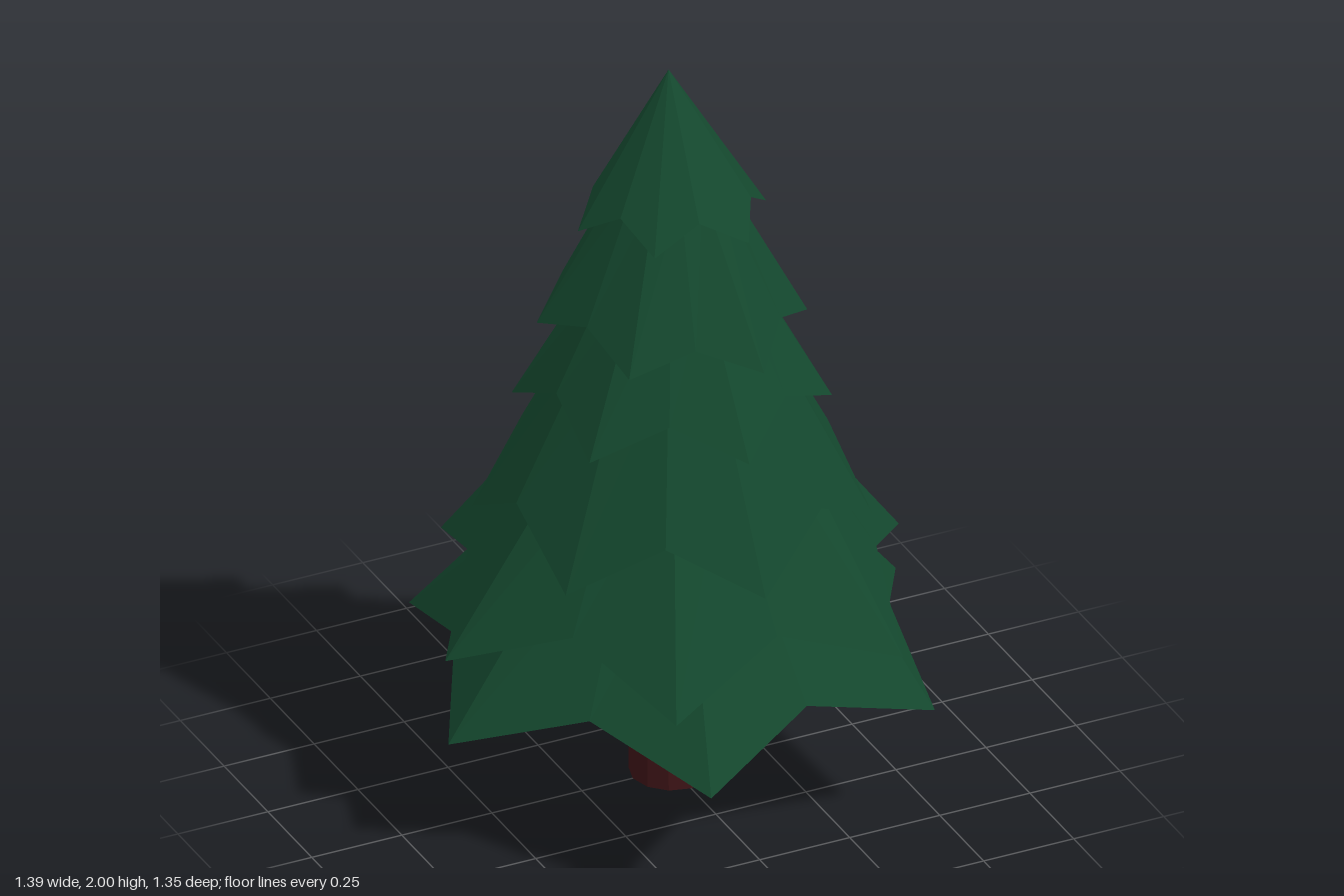
import * as THREE from 'three';

const POINTS = 6;
const needles = new THREE.MeshStandardMaterial({ color: 0x14482e, flatShading: true, side: THREE.DoubleSide });
const bark = new THREE.MeshStandardMaterial({ color: 0x3d1416, flatShading: true });

// Skirt of branches: a six-pointed star rim joined to a smaller, higher ring
function skirt({ tip, valley, top, turn, tilt = [0, 0], lean = [0, 0] }) {
  const n = POINTS * 2, rim = [], ring = [], pos = [];
  for (let i = 0; i < n; i++) {
    const a = THREE.MathUtils.degToRad(turn + i * 360 / n);
    const [r, y] = i % 2 ? valley : tip;
    const x = r * Math.cos(a), z = r * Math.sin(a);
    rim.push([x, y + tilt[0] * x + tilt[1] * z, z]);
    ring.push([top[0] * Math.cos(a) + lean[0], top[1], top[0] * Math.sin(a) + lean[1]]);
  }
  for (let i = 0; i < n; i++) {
    const j = (i + 1) % n;
    pos.push(...rim[i], ...ring[i], ...rim[j]);
    if (top[0] > 0) pos.push(...ring[i], ...ring[j], ...rim[j]);
  }
  const geo = new THREE.BufferGeometry();
  geo.setAttribute('position', new THREE.Float32BufferAttribute(pos, 3));
  geo.computeVertexNormals();
  return new THREE.Mesh(geo, needles);
}

// Trunk: flared at the foot and slightly bent backwards
function trunk() {
  const height = 0.8;
  const geo = new THREE.CylinderGeometry(0.1, 0.1, height, 12, 4);
  geo.translate(0, height / 2, 0);
  const p = geo.attributes.position;
  for (let i = 0; i < p.count; i++) {
    const y = p.getY(i);
    const foot = y < 0.01;
    const flare = foot ? 1.09 : 1;
    const bend = foot ? 0 : y < 0.3 ? -0.016 : -0.01;
    p.setX(i, p.getX(i) * flare);
    p.setZ(i, p.getZ(i) * flare + bend);
  }
  geo.computeVertexNormals();
  return new THREE.Mesh(geo, bark);
}

export function createModel() {
  const tree = new THREE.Group();
  tree.name = 'pineTree';

  const stem = trunk();
  stem.name = 'trunk';
  tree.add(stem);

  // Skirts from bottom to top; tip, valley and top are [radius, height]
  const tiers = [
    { tip: [0.708, 0.325], valley: [0.548, 0.435], top: [0.29, 0.83], turn: -12 },
    { tip: [0.66, 0.51], valley: [0.51, 0.64], top: [0.26, 1.05], turn: -5 },
    { tip: [0.5, 0.75], valley: [0.44, 0.89], top: [0.22, 1.31], turn: 28 },
    { tip: [0.4, 1.085], valley: [0.33, 1.18], top: [0.17, 1.49], turn: 27 },
    { tip: [0.345, 1.31], valley: [0.285, 1.375], top: [0.12, 1.72], turn: 14, tilt: [-0.06, -0.03], lean: [0, -0.01] },
    { tip: [0.25, 1.6], valley: [0.2, 1.67], top: [0, 2], turn: 6, tilt: [-0.03, 0.08], lean: [0.01, -0.04] },
  ];
  tiers.forEach((tier, i) => {
    const mesh = skirt(tier);
    mesh.name = `branchTier${i + 1}`;
    tree.add(mesh);
  });
  return tree;
}
